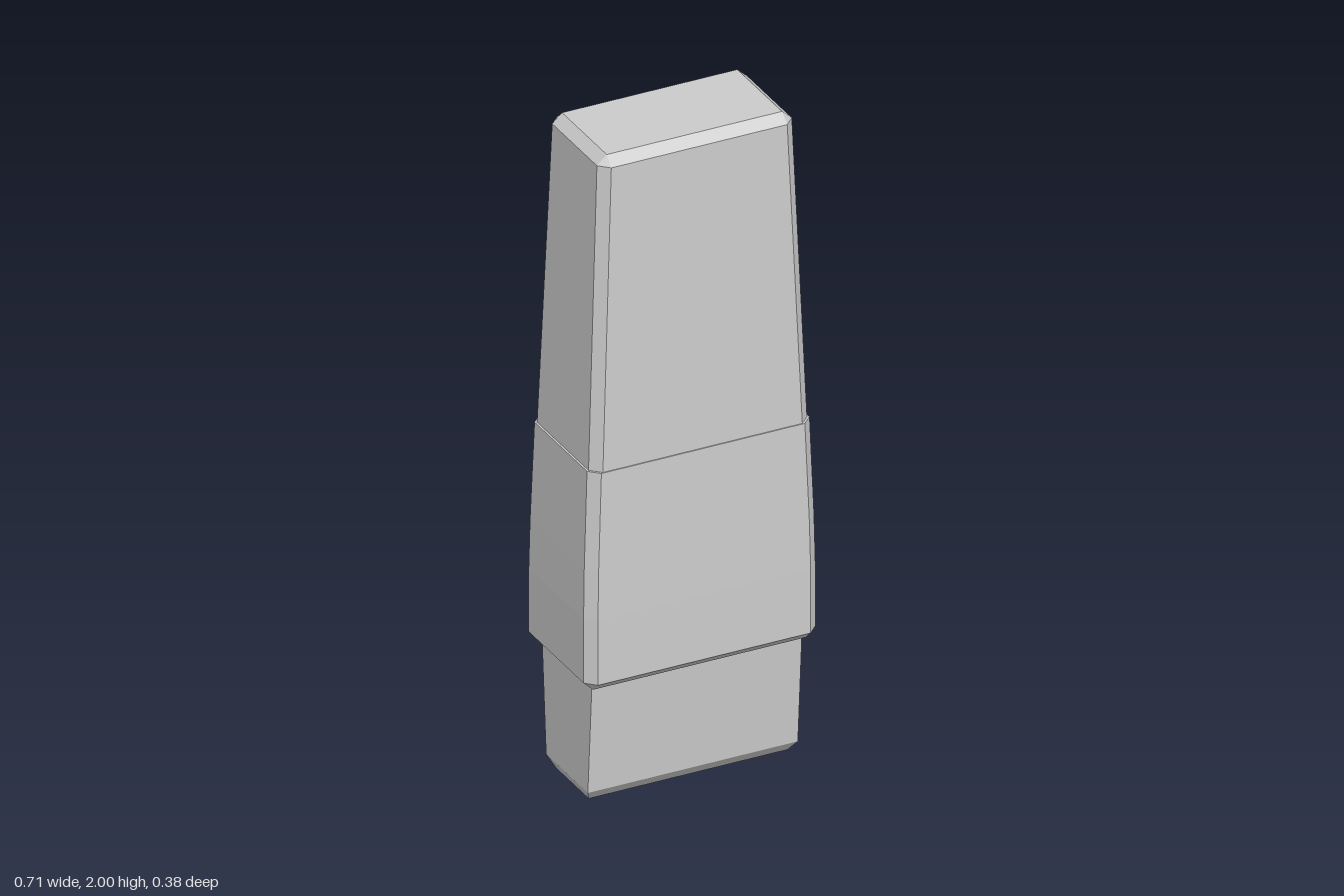
import * as THREE from 'three';

// Rectangle with cut corners, counter-clockwise seen from above
function ring([y, w, d, c]) {
  return [
    [w, d - c], [w, c - d], [w - c, -d], [c - w, -d],
    [-w, c - d], [-w, d - c], [c - w, d], [w - c, d],
  ].map(([x, z]) => new THREE.Vector3(x, y, z));
}

// Closed loft through sections [y, half width, half depth, corner cut]
function loft(name, sections, material) {
  const rings = sections.map(ring);
  const pos = [];
  const tri = (a, b, c) => {
    const area = b.clone().sub(a).cross(c.clone().sub(a)).length();
    if (area > 1e-9) for (const p of [a, b, c]) pos.push(p.x, p.y, p.z);
  };
  for (let i = 0; i < rings.length - 1; i++) {
    const lo = rings[i], hi = rings[i + 1];
    for (let k = 0; k < 8; k++) {
      const n = (k + 1) % 8;
      tri(lo[k], lo[n], hi[n]);
      tri(lo[k], hi[n], hi[k]);
    }
  }
  const bottom = rings[0], top = rings[rings.length - 1];
  for (let k = 1; k < 7; k++) {
    tri(bottom[0], bottom[k + 1], bottom[k]);
    tri(top[0], top[k], top[k + 1]);
  }
  const geometry = new THREE.BufferGeometry();
  geometry.setAttribute('position', new THREE.Float32BufferAttribute(pos, 3));
  geometry.computeVertexNormals();
  const mesh = new THREE.Mesh(geometry, material);
  mesh.name = name;
  return mesh;
}

export function createModel() {
  const group = new THREE.Group();
  group.name = 'taperedBlock';
  const grey = new THREE.MeshStandardMaterial({ color: 0xcccccc, flatShading: true });

  // Narrow foot with a bevelled underside
  group.add(loft('foot', [
    [0, 0.303, 0.096, 0],
    [0.035, 0.32, 0.124, 0],
    [0.378, 0.32, 0.148, 0],
  ], grey));

  // Wider sleeve, gently bulging, ending in a small ledge
  group.add(loft('sleeve', [
    [0.375, 0.324, 0.164, 0],
    [0.402, 0.353, 0.192, 0.029],
    [0.6, 0.353, 0.192, 0.029],
    [0.75, 0.35, 0.19, 0.029],
    [1.05, 0.339, 0.185, 0.029],
  ], grey));

  // Tapering upper section with a bevelled top
  group.add(loft('upperSection', [
    [1.045, 0.333, 0.182, 0.029],
    [1.973, 0.297, 0.162, 0.029],
    [2, 0.267, 0.133, 0],
  ], grey));

  return group;
}
